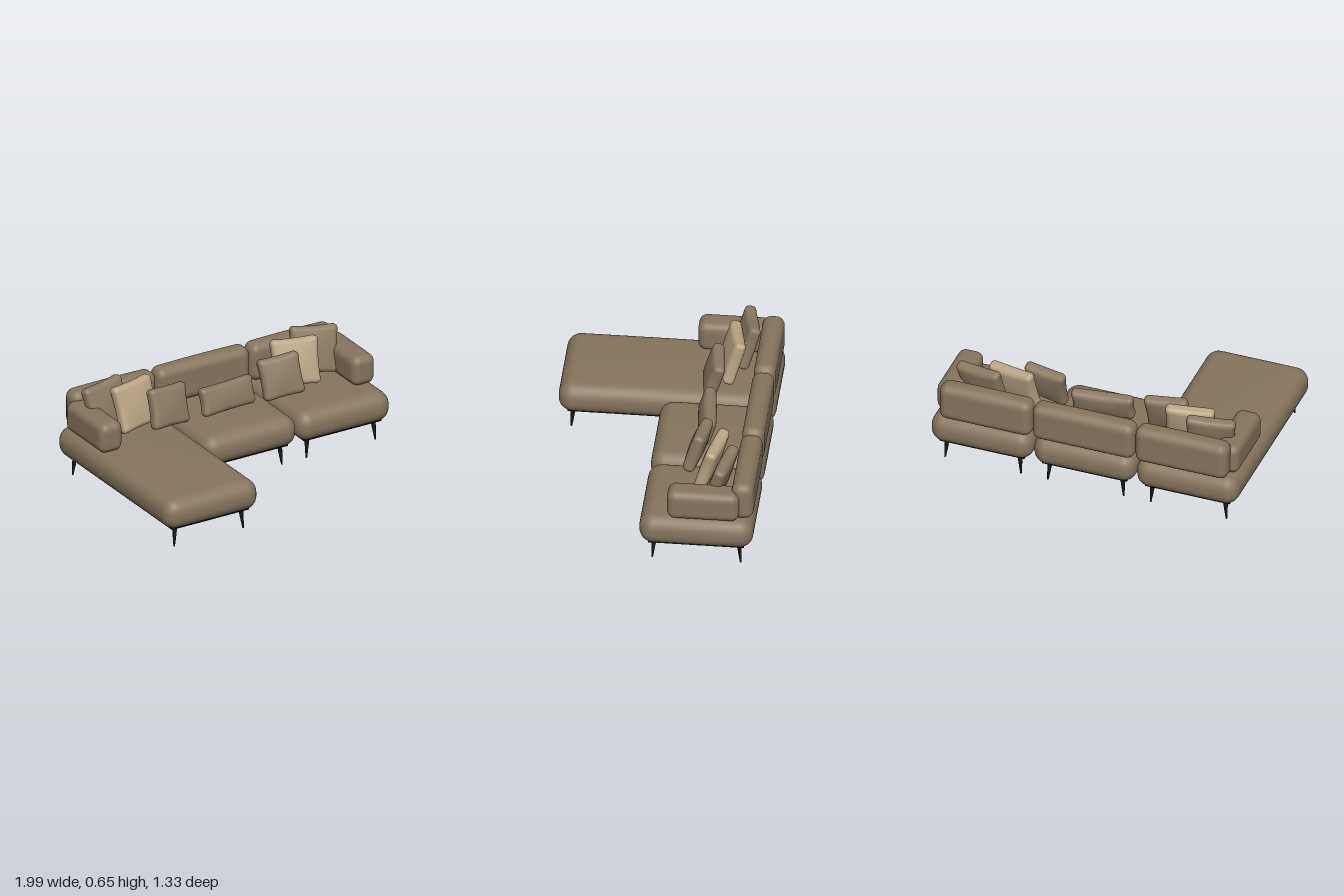
import * as THREE from 'three';
import { mergeVertices } from 'three/addons/utils/BufferGeometryUtils.js';

const mat = (name, color) => {
  const m = new THREE.MeshStandardMaterial({ color });
  m.name = name;
  return m;
};

// Soft rounded box: corners get their own rings, then an optional rule shapes it further
function softBox(w, h, d, r, shape) {
  const half = [w / 2, h / 2, d / 2];
  const geo = new THREE.BoxGeometry(2, 2, 2, 16, 16, 16);
  geo.deleteAttribute('uv');
  geo.deleteAttribute('normal');
  const pos = geo.attributes.position;
  const inner = new THREE.Vector3(), delta = new THREE.Vector3();
  for (let i = 0; i < pos.count; i++) {
    for (let k = 0; k < 3; k++) {
      const t = pos.getComponent(i, k), a = Math.abs(t), s = Math.sign(t);
      const core = half[k] - r;
      inner.setComponent(k, s * core * Math.min(1, a * 2));
      delta.setComponent(k, a > 0.5 ? s * Math.tan((a - 0.5) * Math.PI / 2) : 0);
    }
    inner.addScaledVector(delta.normalize(), r);
    if (shape) shape(inner, inner.x / half[0], inner.y / half[1], inner.z / half[2]);
    pos.setXYZ(i, inner.x, inner.y, inner.z);
  }
  const merged = mergeVertices(geo, 1e-5);
  merged.computeVertexNormals();
  return merged;
}

const dome = (u, v) => Math.cos(u * Math.PI / 2) * Math.cos(v * Math.PI / 2);

// Scatter cushion: pinched sides, fuller middle
const pillowGeometry = (w, h, t) => softBox(w, h, t, t * 0.36, (p, u, v) => {
  p.x *= 1 - 0.06 * (1 - v * v);
  p.y *= 1 - 0.05 * (1 - u * u);
  p.z *= 0.8 + 0.3 * dome(u, v);
});

// Tapered leg whose foot leans outwards
function legGeometry(sx, sz) {
  const geo = new THREE.CylinderGeometry(0.017, 0.005, 0.135, 16);
  geo.translate(0, 0.0675, 0);
  const pos = geo.attributes.position;
  for (let i = 0; i < pos.count; i++) {
    const k = 1 - pos.getY(i) / 0.135;
    pos.setX(i, pos.getX(i) + sx * 0.011 * k);
    pos.setZ(i, pos.getZ(i) + sz * 0.011 * k);
  }
  geo.computeVertexNormals();
  return geo;
}

export function createModel() {
  const fabric = mat('taupeFabric', 0x86755f);
  const pillowFabric = mat('pillowFabric', 0x8a7963);
  const beige = mat('beigeFabric', 0xb9a486);
  const black = mat('blackBase', 0x161616);

  const root = new THREE.Group();
  root.name = 'sectionalSofa';
  const add = (parent, name, geo, material, x, y, z) => {
    const m = new THREE.Mesh(geo, material);
    m.name = name;
    m.position.set(x, y, z);
    parent.add(m);
    return m;
  };

  // Seat modules: name, centre x, front z, back cushion x range
  const backZ = -0.665;
  const modules = [
    ['chaise', -0.667, 0.665, -0.935, -0.337],
    ['middleSeat', 0, 0.03, -0.33, 0.33],
    ['cornerSeat', 0.667, 0.03, 0.337, 0.935],
  ];
  for (const [name, cx, frontZ, bx0, bx1] of modules) {
    const g = new THREE.Group();
    g.name = name;
    root.add(g);
    const depth = frontZ - backZ, cz = (frontZ + backZ) / 2;

    add(g, 'seatCushion', softBox(0.66, 0.196, depth, 0.085, (p, u, v, w) => {
      p.y += Math.max(v, 0) * 0.009 * dome(u, w);
    }), fabric, cx, 0.227, cz);

    // Underside board with an oval fabric patch
    add(g, 'baseBoard', new THREE.BoxGeometry(0.55, 0.012, depth - 0.11), black, cx, 0.132, cz);
    const patch = add(g, 'undersidePatch', new THREE.CylinderGeometry(1, 1, 0.004, 40), fabric, cx, 0.125, cz);
    patch.scale.set(0.125, 1, depth * 0.19);

    add(g, 'backCushion', softBox(bx1 - bx0, 0.243, 0.133, 0.052, (p, u, v, w) => {
      p.y += Math.max(v, 0) * 0.006 * dome(u, w);
    }), fabric, (bx0 + bx1) / 2, 0.443, -0.598);

    for (const sx of [-1, 1]) for (const sz of [-1, 1]) {
      add(g, 'leg', legGeometry(sx, sz), black, cx + sx * 0.235, 0, cz + sz * (depth / 2 - 0.088));
    }
  }

  // Armrests
  for (const s of [-1, 1]) {
    add(root, s > 0 ? 'leftArmrest' : 'rightArmrest',
      softBox(0.16, 0.195, 0.44, 0.05), fabric, s * 0.9, 0.421, -0.36);
  }

  // Scatter cushions: material, width, height, x, y, z, yaw, roll
  const pillows = [
    [pillowFabric, 0.31, 0.3, -0.76, 0.493, -0.448, 0.2, 0.05],
    [beige, 0.31, 0.3, -0.6, 0.488, -0.375, 0.2, 0.03],
    [pillowFabric, 0.28, 0.255, -0.42, 0.467, -0.283, 0.14, -0.07],
    [pillowFabric, 0.4, 0.18, 0, 0.428, -0.287, 0.11, -0.02],
    [pillowFabric, 0.275, 0.265, 0.375, 0.472, -0.27, -0.15, 0.08],
    [beige, 0.31, 0.3, 0.54, 0.488, -0.372, -0.2, -0.03],
    [pillowFabric, 0.31, 0.3, 0.72, 0.495, -0.448, -0.2, -0.08],
  ];
  for (const [m, w, h, x, y, z, yaw, roll] of pillows) {
    const p = add(root, 'scatterCushion', pillowGeometry(w, h, 0.09), m, x, y, z);
    p.rotation.set(-0.3, yaw, roll, 'YXZ');
  }
  return root;
}
